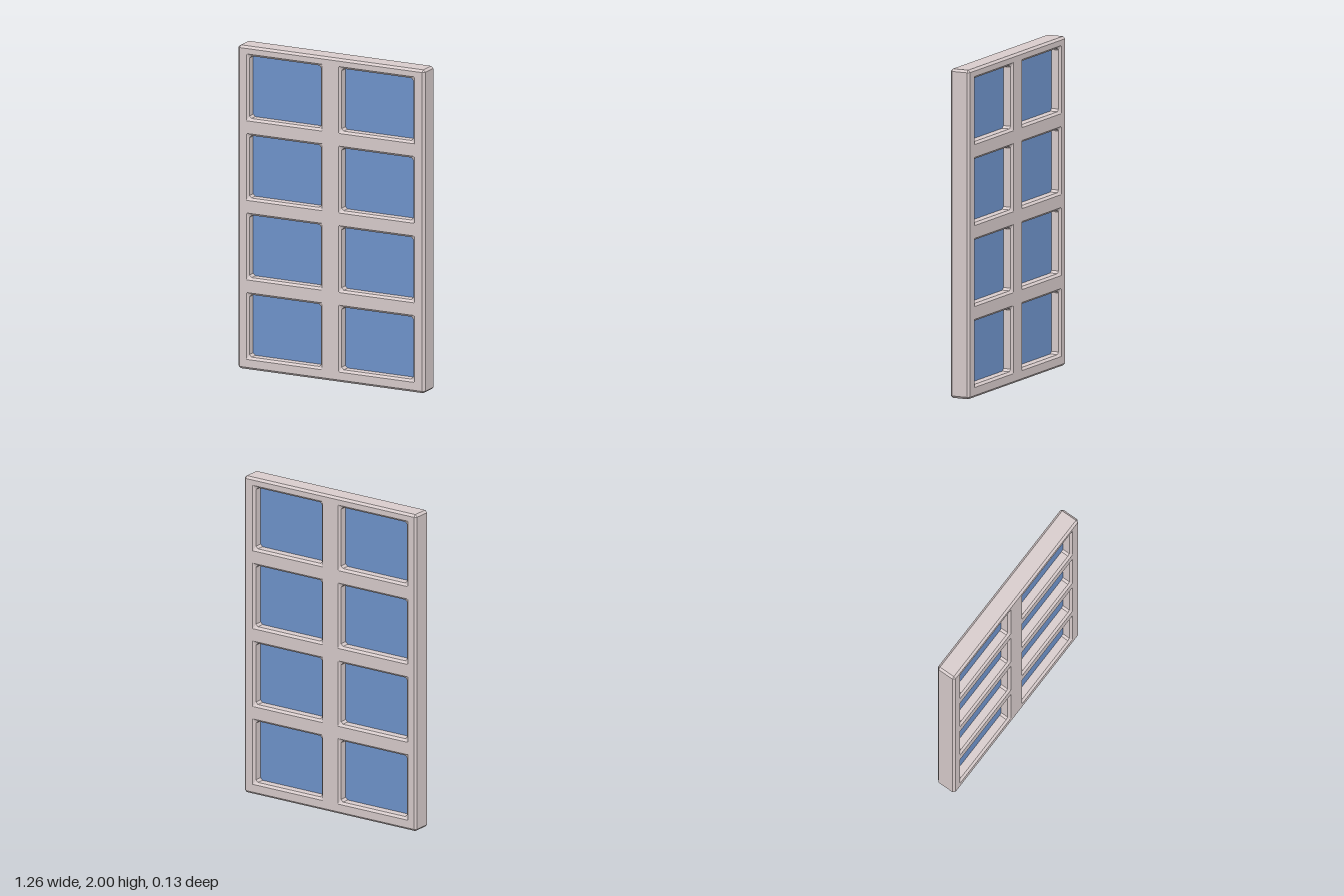
import * as THREE from 'three';
import { mergeGeometries } from 'three/addons/utils/BufferGeometryUtils.js';

const HALF_W = 0.63, HEIGHT = 2, HALF_D = 0.065, BEVEL = 0.014;

// Eight-point counter-clockwise rectangle whose corners are cut by c (c = 0 doubles each corner)
function loop(cx, cy, hw, hh, c) {
  return [
    [hw, -hh + c], [hw, hh - c], [hw - c, hh], [-hw + c, hh],
    [-hw, hh - c], [-hw, -hh + c], [-hw + c, -hh], [hw - c, -hh],
  ].map(([x, y]) => new THREE.Vector2(cx + x, cy + y));
}

// Wall from front face to back face: bevel, straight band, bevel
function wall(face, mid, inward) {
  const sections = [[face, HALF_D], [mid, HALF_D - BEVEL], [mid, BEVEL - HALF_D], [face, -HALF_D]]
    .map(([pts, z]) => pts.map(p => new THREE.Vector3(p.x, p.y, z)));
  const points = [];
  const tri = (a, b, c) => {
    if (new THREE.Triangle(a, b, c).getArea() > 1e-9) points.push(...(inward ? [a, c, b] : [a, b, c]));
  };
  for (let s = 0; s < 3; s++) {
    for (let i = 0; i < 8; i++) {
      const j = (i + 1) % 8, A = sections[s], B = sections[s + 1];
      tri(A[i], B[i], B[j]);
      tri(A[i], B[j], A[j]);
    }
  }
  const g = new THREE.BufferGeometry().setFromPoints(points);
  g.computeVertexNormals();
  return g;
}

// Flat face with the window openings; sign -1 makes the back
function faceSheet(openings, sign) {
  const rect = (cx, cy, hw, hh) => [[-1, -1], [1, -1], [1, 1], [-1, 1]]
    .map(([x, y]) => new THREE.Vector2(sign * cx + x * hw, cy + y * hh));
  const shape = new THREE.Shape(rect(0, HEIGHT / 2, HALF_W - BEVEL, HEIGHT / 2 - BEVEL));
  for (const o of openings) shape.holes.push(new THREE.Path(rect(o.x, o.y, o.hw, o.hh)));
  const g = new THREE.ShapeGeometry(shape).toNonIndexed();
  g.deleteAttribute('uv');
  g.translate(0, 0, HALF_D);
  if (sign < 0) g.rotateY(Math.PI);
  return g;
}

export function createModel() {
  const model = new THREE.Group();
  model.name = 'window';
  const frameMat = new THREE.MeshStandardMaterial({ color: 0xd8cccc, flatShading: true });
  const glassMat = new THREE.MeshStandardMaterial({ color: 0x6f94cc });

  // Two columns by four rows of openings
  const openings = [];
  for (const x of [-0.315, 0.307]) {
    for (let row = 0; row < 4; row++) openings.push({ x, y: 0.27 + row * 0.492, hw: 0.256, hh: 0.207 });
  }

  // Bevelled frame with bars
  const parts = [
    faceSheet(openings, 1),
    faceSheet(openings, -1),
    wall(loop(0, HEIGHT / 2, HALF_W - BEVEL, HEIGHT / 2 - BEVEL, 0),
      loop(0, HEIGHT / 2, HALF_W, HEIGHT / 2, BEVEL), false),
  ];
  for (const { x, y, hw, hh } of openings) {
    parts.push(wall(loop(x, y, hw, hh, 0), loop(x, y, hw - BEVEL, hh - BEVEL, BEVEL), true));
  }
  const frame = new THREE.Mesh(mergeGeometries(parts), frameMat);
  frame.name = 'frame';
  model.add(frame);

  // Glass panes, midway through the frame
  openings.forEach(({ x, y, hw, hh }, i) => {
    const pane = new THREE.Mesh(new THREE.BoxGeometry(2 * (hw - BEVEL), 2 * (hh - BEVEL), 0.006), glassMat);
    pane.name = `glassPane${i + 1}`;
    pane.position.set(x, y, 0);
    model.add(pane);
  });
  return model;
}
